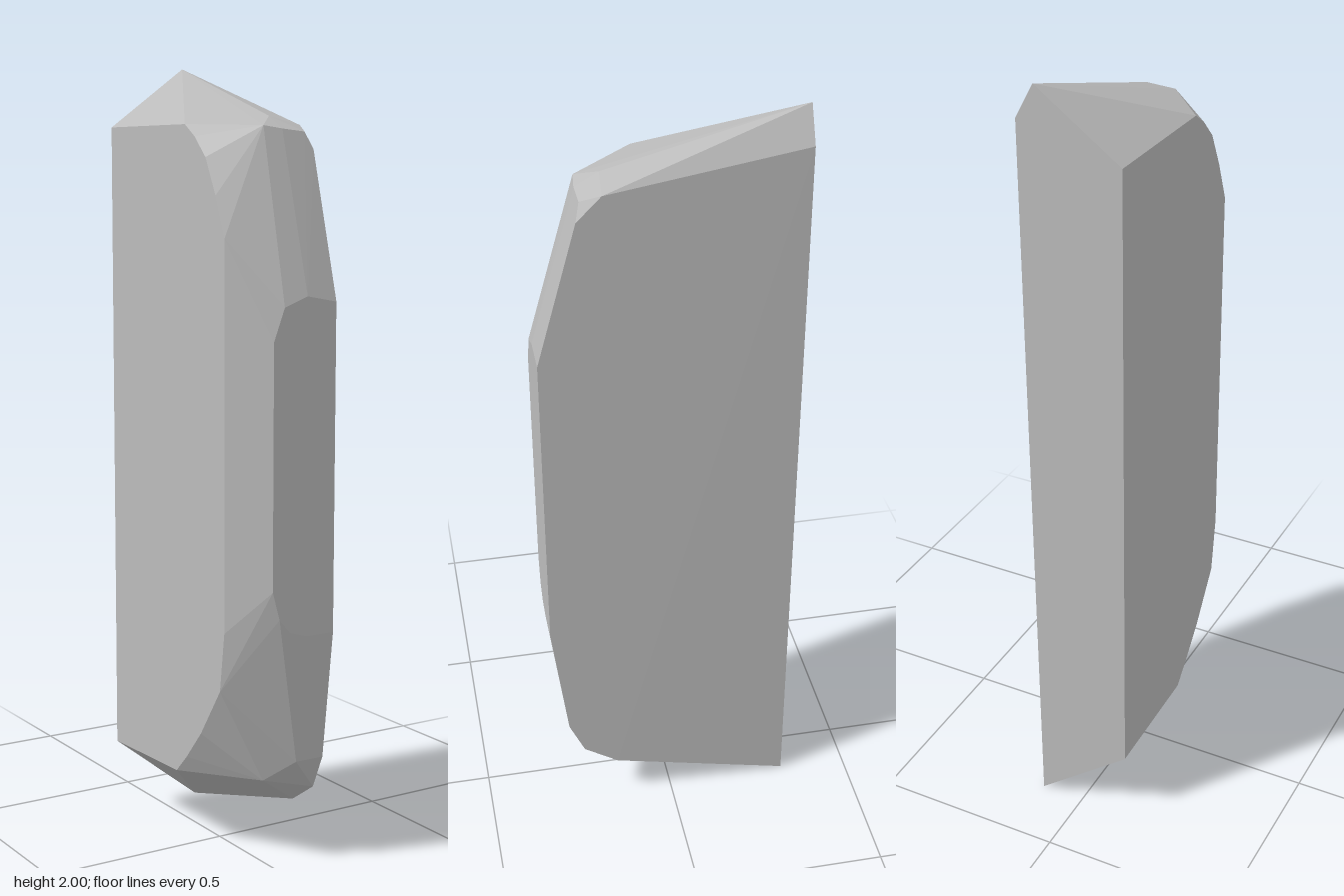
import * as THREE from 'three';
import { ConvexGeometry } from 'three/addons/geometries/ConvexGeometry.js';

// Faceted slab: flat sides and back, worn front edge, slanted ends
export function createModel() {
  const group = new THREE.Group();
  const stone = new THREE.MeshStandardMaterial({ color: 0xbbbbbb });
  stone.name = 'pale grey';

  // outlines of the flat sides as [z, y]
  const leftSide = [
    [0.15, 0.13], [0.24, 0.19], [0.28, 0.28], [0.32, 0.61],
    [0.32, 1.42], [0.22, 1.78], [0.16, 1.84], [-0.32, 1.915],
  ].map(([z, y]) => [0.129, y, z]);
  const rightSide = [
    [-0.32, 0.2], [0.0, 0.21], [0.05, 0.26], [0.12, 0.34], [0.21, 0.47], [0.23, 0.62],
    [0.23, 1.57], [0.19, 1.67], [0.145, 1.76], [0.095, 1.81], [0.05, 1.84], [-0.32, 1.845],
  ].map(([z, y]) => [-0.13, y, z]);

  // front facet outline as [x, y]
  const front = [
    [-0.05, 1.33], [-0.02, 1.41], [0.045, 1.435],
    [-0.05, 0.73], [-0.03, 0.66], [0.0, 0.625], [0.05, 0.61],
  ].map(([x, y]) => [x, y, 0.321]);

  // slanted ends: peak, foot and rounded front corners
  const ends = [
    [0.083, 2, -0.321], [0.117, 0.005, -0.321],
    [0.045, 1.86, 0.152], [-0.005, 1.835, 0.204], [0.045, 1.828, 0.21], [0.11, 1.822, 0.209],
    [-0.01, 0.225, 0.22], [0.05, 0.28, 0.279],
  ];

  const points = [...leftSide, ...rightSide, ...front, ...ends].map((p) => new THREE.Vector3(...p));
  const slab = new THREE.Mesh(new ConvexGeometry(points), stone);
  slab.name = 'slab';
  group.add(slab);
  return group;
}
